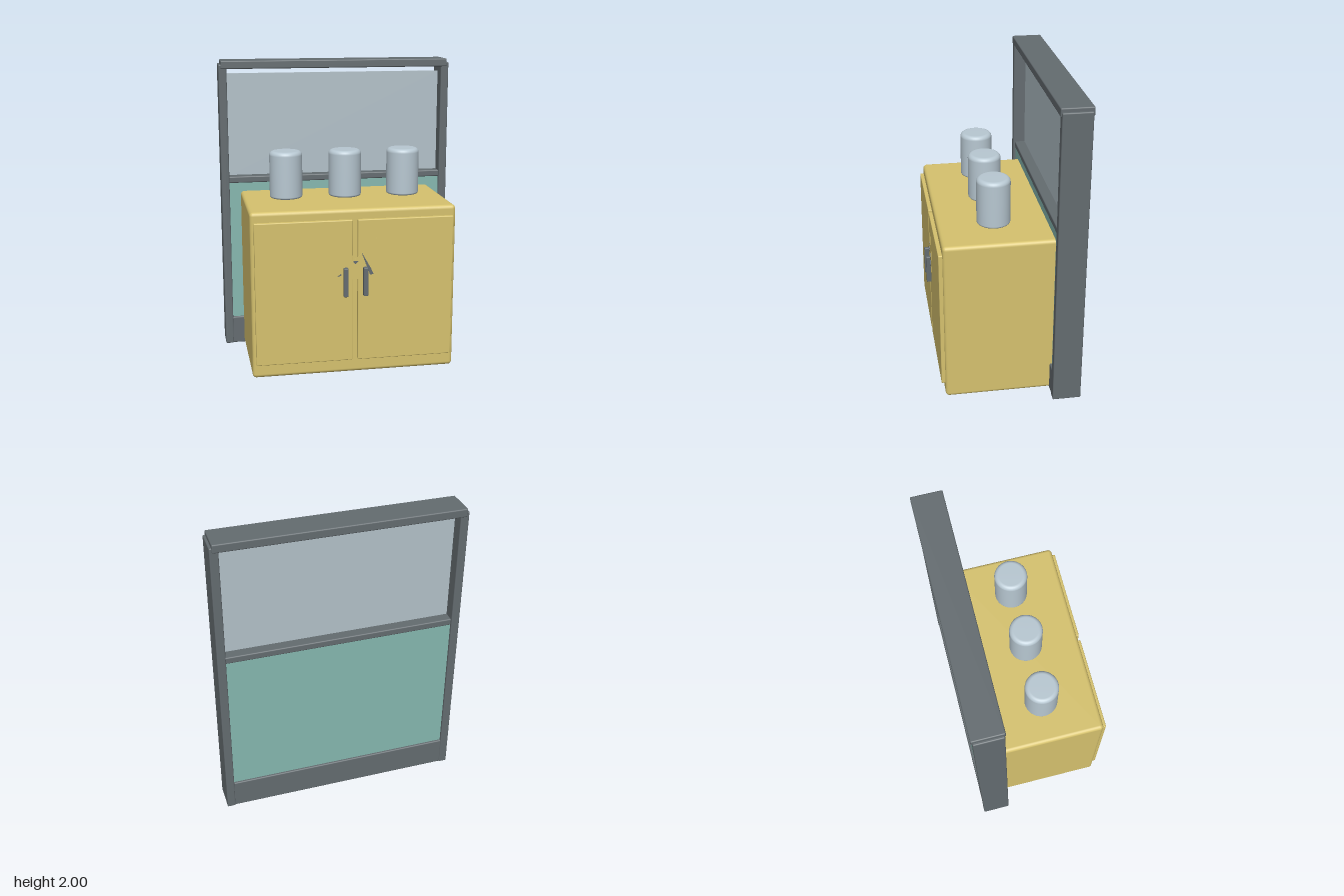
import * as THREE from 'three';
import { RoundedBoxGeometry } from 'three/addons/geometries/RoundedBoxGeometry.js';

function material(name, color) {
  const m = new THREE.MeshStandardMaterial({ color });
  m.name = name;
  return m;
}

export function createModel() {
  const group = new THREE.Group();
  const yellow = material('yellow paint', 0xd6c26e);
  const steel = material('dark steel', 0x646c70);
  const teal = material('teal panel', 0x86b8b0);
  const glass = material('pale glass', 0xb3c1c9);
  const ceramic = material('pale jar', 0xb8c8d2);

  const add = (name, geometry, mat) => {
    const mesh = new THREE.Mesh(geometry, mat);
    mesh.name = name;
    group.add(mesh);
    return mesh;
  };
  // Rounded box from its minimum and maximum corners
  const box = (name, [x0, y0, z0], [x1, y1, z1], radius, mat) => {
    const geometry = new RoundedBoxGeometry(x1 - x0, y1 - y0, z1 - z0, 3, radius);
    geometry.translate((x0 + x1) / 2, (y0 + y1) / 2, (z0 + z1) / 2);
    return add(name, geometry, mat);
  };

  // Partition frame
  for (const [side, s] of [['left', 1], ['right', -1]]) {
    const xs = [s * 0.745, s * 0.8].sort((a, b) => a - b);
    box(side + 'Post', [xs[0], 0, -0.458], [xs[1], 1.975, -0.272], 0.008, steel);
  }
  box('topRail', [-0.785, 1.945, -0.467], [0.785, 2, -0.265], 0.008, steel);
  box('middleRail', [-0.75, 1.163, -0.445], [0.75, 1.208, -0.285], 0.008, steel);
  box('bottomRail', [-0.75, 0.003, -0.455], [0.75, 0.195, -0.275], 0.008, steel);

  // Lower panel and upper pane, with a slit under the top rail
  const panel = add('lowerPanel', new THREE.BoxGeometry(1.495, 0.98, 0.15), teal);
  panel.position.set(0, 0.68, -0.365);
  const pane = add('upperPane', new THREE.BoxGeometry(1.495, 0.71, 0.02), glass);
  pane.position.set(0, 1.555, -0.365);

  // Cabinet body, doors and handles
  box('cabinetBody', [-0.668, 0.006, -0.315], [0.668, 1.105, 0.412], 0.025, yellow);
  for (const [side, s] of [['left', 1], ['right', -1]]) {
    const door = [s * 0.017, s * 0.645].sort((a, b) => a - b);
    const handle = [s * 0.05, s * 0.08].sort((a, b) => a - b);
    box(side + 'Door', [door[0], 0.1, 0.4], [door[1], 1.04, 0.437], 0.006, yellow);
    box(side + 'Handle', [handle[0], 0.54, 0.435], [handle[1], 0.73, 0.468], 0.005, steel);
  }

  // Thin cover across the door gap, with small metal splinters
  const plate = (name, points, z, mat) => {
    const shape = new THREE.Shape(points.map(([x, y]) => new THREE.Vector2(x, y)));
    const geometry = new THREE.ExtrudeGeometry(shape, { depth: 0.003, bevelEnabled: false });
    geometry.translate(0, 0, z);
    add(name, geometry, mat);
  };
  plate('gapCover', [[-0.03, 0.65], [0.14, 0.65], [0.14, 0.92], [0.02, 0.8], [-0.03, 0.76]], 0.436, yellow);
  plate('longSplinter', [[0.038, 0.83], [0.095, 0.675], [0.118, 0.68], [0.1, 0.72]], 0.438, steel);
  plate('middleSplinter', [[-0.02, 0.77], [0, 0.75], [0.02, 0.77]], 0.438, steel);
  plate('sideSplinter', [[-0.12, 0.67], [-0.09, 0.68], [-0.095, 0.69]], 0.438, steel);

  // Three jars with rounded rims
  const profile = [new THREE.Vector2(0, 0)];
  const r = 0.108, h = 0.31, bottom = 0.014, top = 0.028;
  for (let i = 0; i <= 5; i++) {
    const a = (i / 5) * Math.PI / 2;
    profile.push(new THREE.Vector2(r - bottom + bottom * Math.sin(a), bottom - bottom * Math.cos(a)));
  }
  for (let i = 0; i <= 6; i++) {
    const a = (i / 6) * Math.PI / 2;
    profile.push(new THREE.Vector2(r - top + top * Math.cos(a), h - top + top * Math.sin(a)));
  }
  profile.push(new THREE.Vector2(0, h));
  const jarGeometry = new THREE.LatheGeometry(profile, 40);
  for (const x of [-0.394, 0, 0.394]) {
    add('jar', jarGeometry, ceramic).position.set(x, 1.125, 0.057);
  }

  return group;
}
